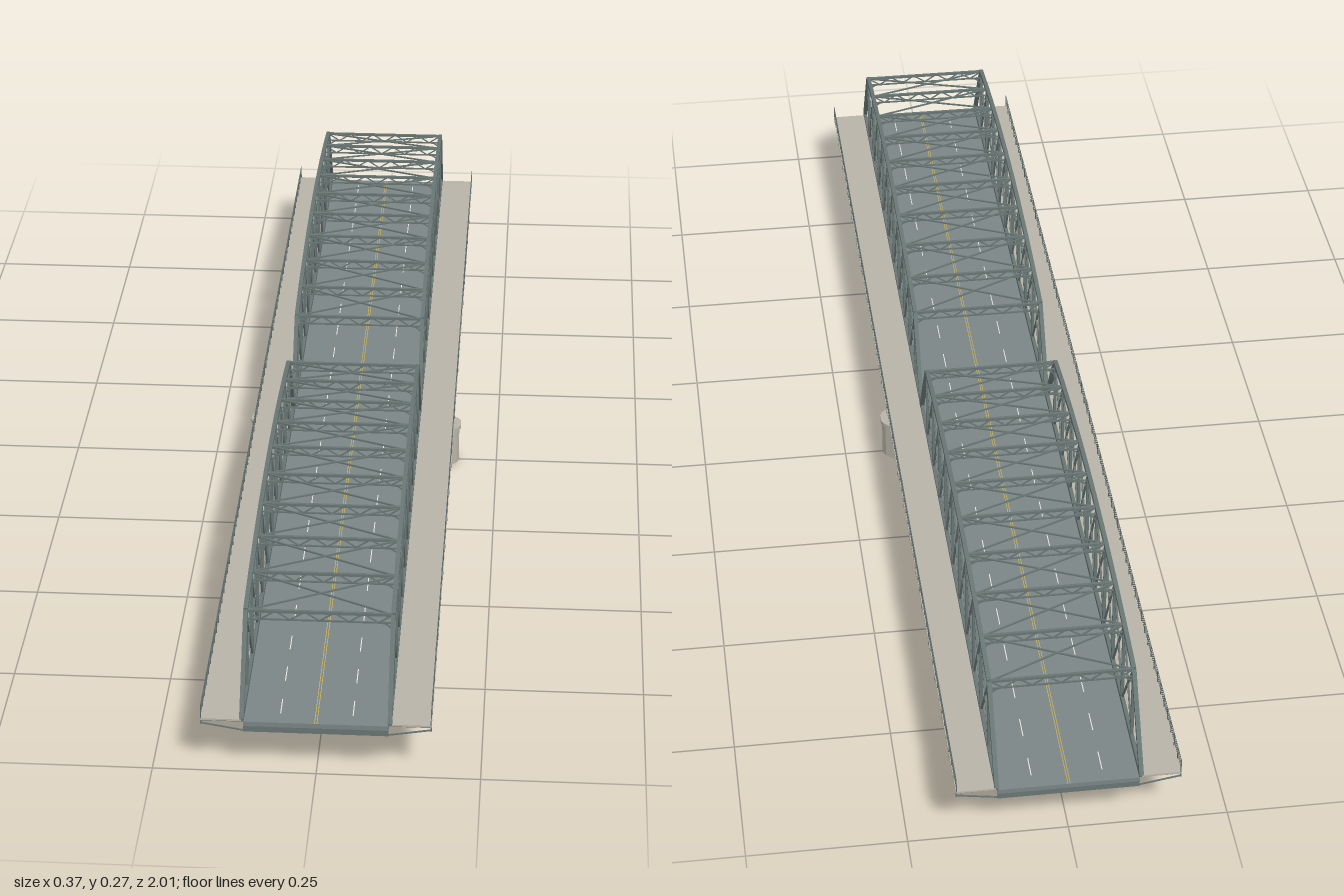
import * as THREE from 'three';
import { mergeGeometries } from 'three/addons/utils/BufferGeometryUtils.js';

const mat = (name, color) => {
  const m = new THREE.MeshStandardMaterial({ color });
  m.name = name;
  return m;
};

const PANELS = 11, STEP = 1 / PANELS;
const TX = 0.112;        // truss plane
const BOTTOM = 0.095;    // bottom chord height
const DECK = 0.09;       // road surface
const EDGE = 0.174;      // outer walkway edge

// height of the curved top chord at node k
const topY = k => 0.265 - 0.034 * ((k - 5.5) / 4.5) ** 2;

// square bar between two points
function bar(a, b, w, h = w) {
  const p = new THREE.Vector3(...a), q = new THREE.Vector3(...b);
  const o = new THREE.Object3D();
  o.position.copy(p).add(q).multiplyScalar(0.5);
  o.lookAt(q);
  o.updateMatrix();
  return new THREE.BoxGeometry(w, h, p.distanceTo(q)).applyMatrix4(o.matrix);
}

function block(w, h, d, x, y, z) {
  return new THREE.BoxGeometry(w, h, d).translate(x, y, z);
}

export function createModel() {
  const steel = mat('truss steel', 0x687674);
  const asphalt = mat('asphalt', 0x7b8686);
  const concrete = mat('concrete', 0xb9b4a8);
  const railSteel = mat('railing steel', 0x5e6a69);
  const white = mat('white paint', 0xe6e6e0);
  const yellow = mat('yellow paint', 0xd8b84c);

  const model = new THREE.Group();
  model.name = 'trussBridge';
  const add = (parent, name, parts, material) => {
    const mesh = new THREE.Mesh(mergeGeometries(parts), material);
    mesh.name = name;
    parent.add(mesh);
  };

  // pier with faceted noses and a slightly wider cap
  const pierSlab = (grow, y, height) => {
    const quarter = [[0.157, 0.034], [0.179, 0.014], [0.183, 0.005]]
      .map(([x, z]) => [x + grow, z + grow]);
    const back = quarter.slice().reverse();
    const outline = [
      ...quarter.map(([x, z]) => [x, -z]), ...back,
      ...quarter.map(([x, z]) => [-x, z]), ...back.map(([x, z]) => [-x, -z])
    ].map(p => new THREE.Vector2(...p));
    return new THREE.ExtrudeGeometry(new THREE.Shape(outline), { depth: height, bevelEnabled: false })
      .rotateX(-Math.PI / 2).translate(0, y, 0);
  };
  add(model, 'pierShaft', [pierSlab(0, 0, 0.067)], concrete);
  add(model, 'pierCap', [pierSlab(0.003, 0.066, 0.007)], concrete);

  // road slab, walkways and paint
  add(model, 'roadDeck', [block(0.22, 0.008, 2, 0, DECK - 0.004, 0)], asphalt);
  add(model, 'walkways', [-1, 1].map(s =>
    block(0.062, 0.003, 2, s * 0.144, 0.092, 0)), concrete);
  add(model, 'centreLines', [-1, 1].map(s =>
    block(0.001, 0.0006, 2, s * 0.0018, DECK + 0.0002, 0)), yellow);
  const dashes = [];
  for (let i = 0; i < 22; i++) {
    for (const s of [-1, 1]) {
      dashes.push(block(0.0016, 0.0006, 0.04, s * 0.055, DECK + 0.0002, -1 + (i + 0.5) * STEP));
    }
  }
  add(model, 'laneDashes', dashes, white);

  // floor beams and walkway brackets at every panel point
  const beams = [], brackets = [];
  for (let i = 0; i <= 2 * PANELS; i++) {
    const z = THREE.MathUtils.clamp(-1 + i * STEP, -0.997, 0.997);
    beams.push(block(0.22, 0.017, 0.005, 0, 0.0805, z));
    for (const s of [-1, 1]) {
      brackets.push(
        bar([s * 0.11, 0.073, z], [s * EDGE, 0.084, z], 0.002),
        bar([s * 0.11, 0.0895, z], [s * EDGE, 0.0895, z], 0.002),
        bar([s * EDGE, 0.082, z], [s * EDGE, 0.092, z], 0.002));
    }
  }
  add(model, 'floorBeams', beams, steel);
  add(model, 'walkwayBrackets', brackets, steel);

  // railings along both outer edges
  const rails = [];
  const posts = 6 * PANELS;
  for (const s of [-1, 1]) {
    const x = s * EDGE;
    for (const y of [0.102, 0.109, 0.1165]) rails.push(bar([x, y, -1], [x, y, 1], 0.001));
    for (let i = 0; i <= posts; i++) {
      const z = -0.999 + 1.998 * i / posts;
      rails.push(bar([x, 0.09, z], [x, 0.117, z], 0.0013));
    }
  }
  add(model, 'railings', rails, railSteel);

  // two identical spans
  for (const start of [-1, 0]) {
    const span = new THREE.Group();
    span.name = start ? 'rearSpan' : 'frontSpan';
    model.add(span);
    const zAt = k => start + k * STEP;
    const chords = [], webs = [], sway = [], laterals = [];

    for (const s of [-1, 1]) {
      const x = s * TX;
      const low = k => [x, BOTTOM, zAt(k)];
      const high = k => [x, topY(k), zAt(k)];
      chords.push(bar(low(0), low(PANELS), 0.006, 0.009));
      chords.push(bar(low(0), high(1), 0.007, 0.008), bar(low(PANELS), high(PANELS - 1), 0.007, 0.008));
      for (let k = 1; k < PANELS; k++) {
        webs.push(bar(low(k), high(k), 0.005));
        if (k === PANELS - 1) continue;
        chords.push(bar(high(k), high(k + 1), 0.007, 0.008));
        webs.push(bar(low(k), high(k + 1), 0.003), bar(high(k), low(k + 1), 0.003));
      }
    }

    for (let k = 1; k < PANELS; k++) {
      const z = zAt(k), y = topY(k), yl = y - 0.0145;
      // cross frame: two struts with zigzag lacing
      sway.push(bar([-TX, y, z], [TX, y, z], 0.0045), bar([-TX, yl, z], [TX, yl, z], 0.0025));
      const n = 10;
      for (let i = 0; i < n; i++) {
        const xa = -TX + 2 * TX * i / n, xb = -TX + 2 * TX * (i + 1) / n;
        sway.push(bar([xa, i % 2 ? yl : y, z], [xb, i % 2 ? y : yl, z], 0.002));
      }
      // curved knee braces
      for (const s of [-1, 1]) {
        const arc = t => [s * (TX - 0.02 + 0.02 * Math.cos(t)), yl - 0.02 + 0.02 * Math.sin(t), z];
        for (let i = 0; i < 4; i++) sway.push(bar(arc(i * Math.PI / 8), arc((i + 1) * Math.PI / 8), 0.0022));
        // crossed bracing between the top chords
        if (k < PANELS - 1) {
          laterals.push(bar([-s * TX, y, z], [s * TX, topY(k + 1), zAt(k + 1)], 0.0025));
        }
      }
    }
    add(span, 'chordsAndEndPosts', chords, steel);
    add(span, 'verticalsAndDiagonals', webs, steel);
    add(span, 'crossFrames', sway, steel);
    add(span, 'topBracing', laterals, steel);
  }
  return model;
}
